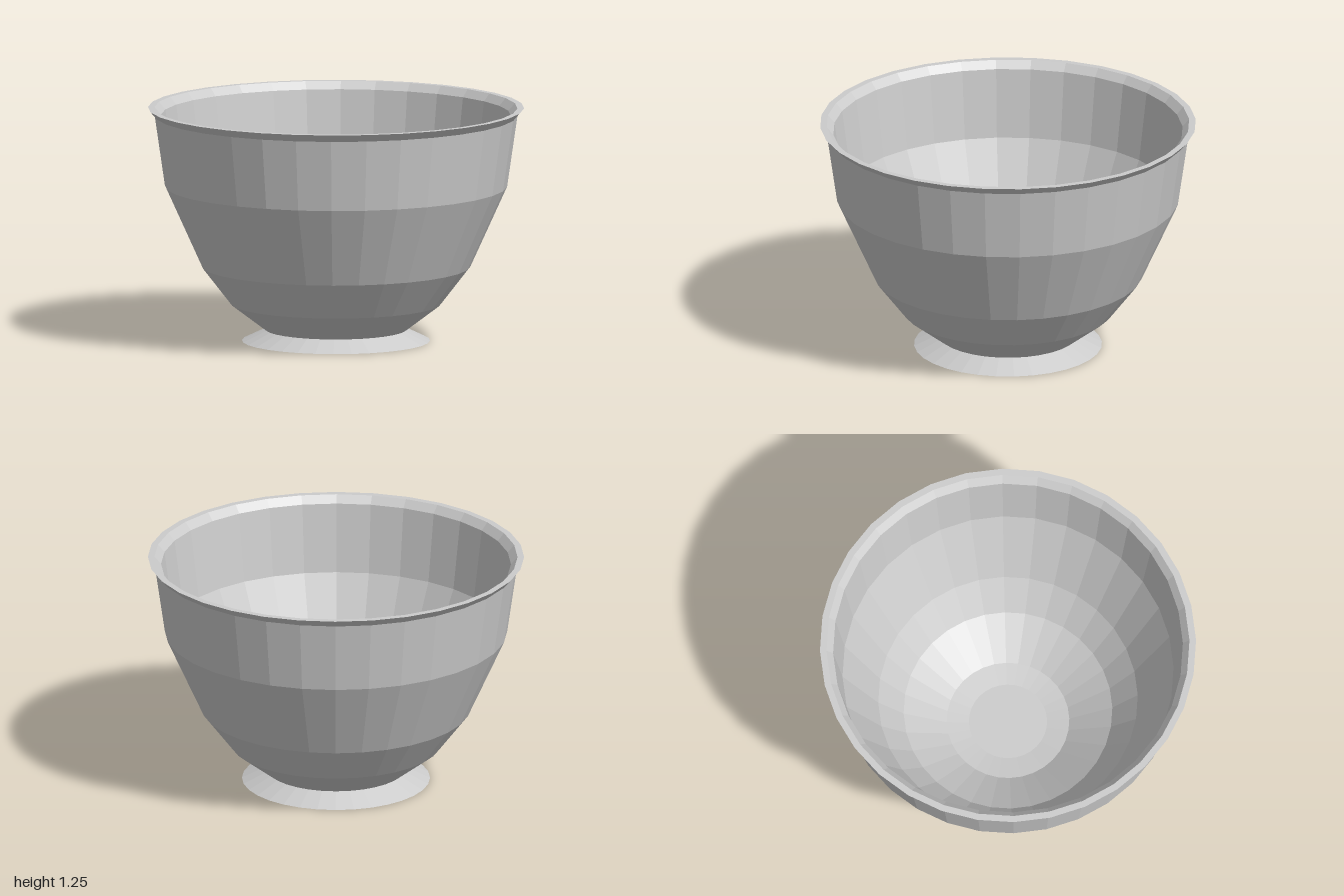
import * as THREE from 'three';

const SIDES = 32;

// Faceted ring of revolution through [radius, height] points
function turned(name, profile) {
  const points = profile.map(([r, y]) => new THREE.Vector2(r, y));
  const material = new THREE.MeshStandardMaterial({
    color: 0xcccccc, flatShading: true, side: THREE.DoubleSide,
  });
  const mesh = new THREE.Mesh(new THREE.LatheGeometry(points, SIDES), material);
  mesh.name = name;
  return mesh;
}

export function createModel() {
  const bowl = new THREE.Group();
  bowl.name = 'bowl';
  bowl.add(
    // flared foot with a closed underside
    turned('foot', [[0, 0], [0.5, 0], [0.375, 0.06]]),
    // outside of the bowl, from the foot to under the lip
    turned('outerWall', [[0.375, 0.06], [0.56, 0.2], [0.715, 0.4], [0.91, 0.83], [0.965, 1.21]]),
    // lip flaring outwards, flat on top
    turned('rim', [[0.965, 1.21], [1, 1.25], [0.965, 1.25], [0.93, 1.21]]),
    // inside of the bowl, down to the flat floor
    turned('innerWall', [[0.93, 1.21], [0.88, 0.84], [0.69, 0.42], [0.555, 0.24], [0.326, 0.085], [0.208, 0.07], [0, 0.07]]),
  );
  return bowl;
}
